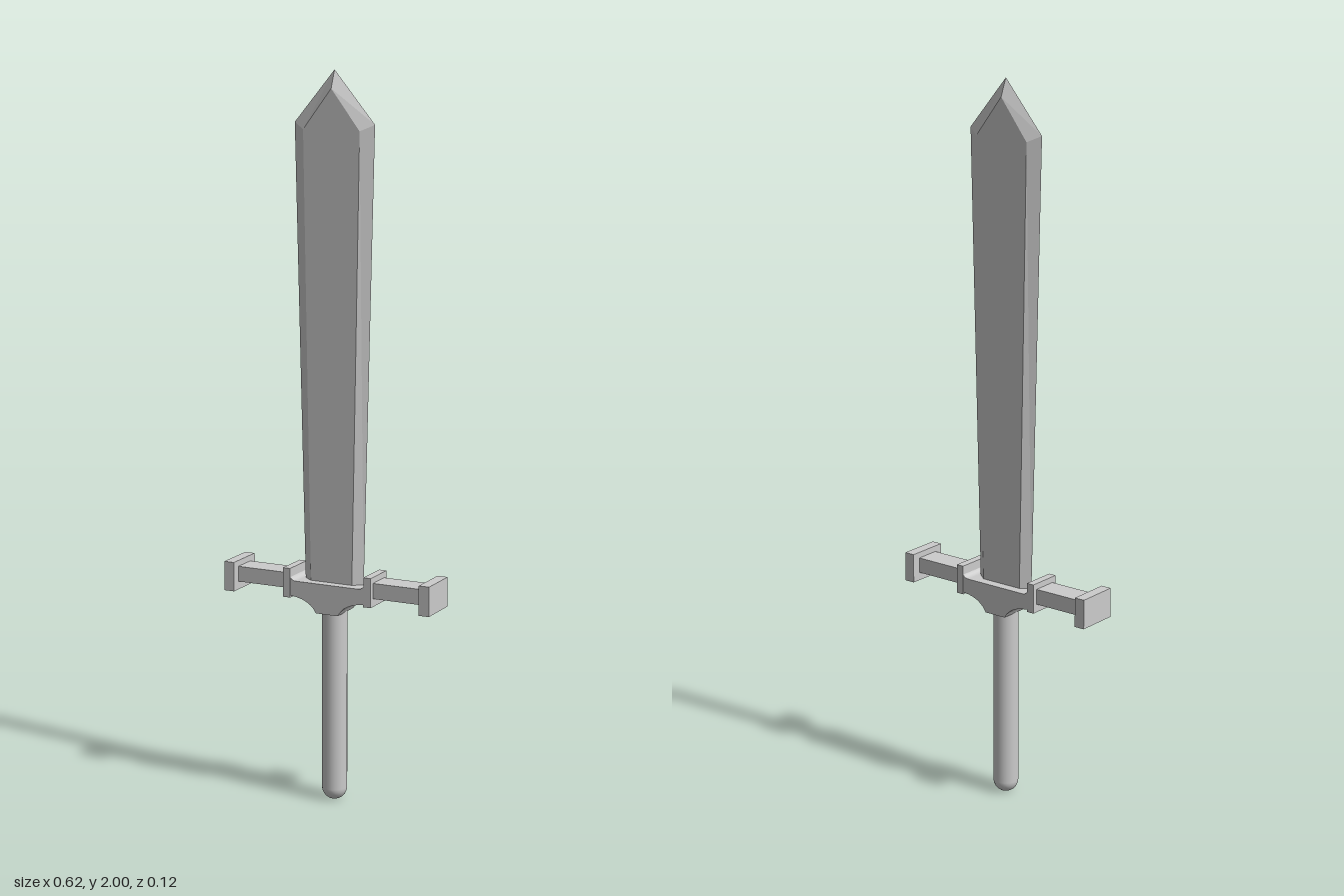
import * as THREE from 'three';

const flat = new THREE.MeshStandardMaterial({ color: 0xcccccc, flatShading: true });
const smooth = new THREE.MeshStandardMaterial({ color: 0xcccccc });

function add(parent, name, geometry, material = flat) {
  const mesh = new THREE.Mesh(geometry, material);
  mesh.name = name;
  parent.add(mesh);
  return mesh;
}

// Six-sided blade: each section gives edge (half width, y) and flat (half width, y)
function bladeGeometry() {
  const t = 0.02;
  const sections = [
    { edge: [0.088, 0.605], face: [0.062, 0.605] },
    { edge: [0.118, 1.86], face: [0.083, 1.843] },
    { edge: [0, 2], face: [0, 1.952] },
  ];
  const rings = sections.map(({ edge: [w, ey], face: [f, fy] }) => [
    [w, ey, 0], [f, fy, t], [-f, fy, t], [-w, ey, 0], [-f, fy, -t], [f, fy, -t],
  ]);
  const positions = [];
  for (let r = 0; r < rings.length - 1; r++) {
    for (let i = 0; i < 6; i++) {
      const j = (i + 1) % 6;
      const [a, b] = [rings[r][i], rings[r][j]];
      const [A, B] = [rings[r + 1][i], rings[r + 1][j]];
      positions.push(...a, ...A, ...B, ...a, ...B, ...b);
    }
  }
  const geometry = new THREE.BufferGeometry();
  geometry.setAttribute('position', new THREE.Float32BufferAttribute(positions, 3));
  geometry.computeVertexNormals();
  return geometry;
}

// Central guard block with a scooped underside, extruded front to back
function guardCentreGeometry() {
  const shape = new THREE.Shape();
  shape.moveTo(0.112, 0.632);
  shape.quadraticCurveTo(0.108, 0.62, 0.094, 0.62);
  shape.lineTo(-0.094, 0.62);
  shape.quadraticCurveTo(-0.108, 0.62, -0.112, 0.632);
  shape.lineTo(-0.112, 0.578);
  shape.quadraticCurveTo(-0.052, 0.574, -0.033, 0.537);
  shape.lineTo(0.033, 0.537);
  shape.quadraticCurveTo(0.052, 0.574, 0.112, 0.578);
  const geometry = new THREE.ExtrudeGeometry(shape, { depth: 0.096, bevelEnabled: false, curveSegments: 6 });
  return geometry.translate(0, 0, -0.048);
}

export function createModel() {
  const model = new THREE.Group();
  model.name = 'sword';

  add(model, 'blade', bladeGeometry());

  // Crossguard
  const guard = new THREE.Group();
  guard.name = 'crossguard';
  model.add(guard);
  add(guard, 'guardCentre', guardCentreGeometry());
  for (const [side, s] of [['left', 1], ['right', -1]]) {
    add(guard, `${side}Collar`, new THREE.BoxGeometry(0.022, 0.082, 0.098)).position.set(s * 0.122, 0.613, 0);
    add(guard, `${side}Bar`, new THREE.BoxGeometry(0.15, 0.043, 0.07)).position.set(s * 0.207, 0.616, 0);
    add(guard, `${side}EndCap`, new THREE.BoxGeometry(0.03, 0.082, 0.12)).position.set(s * 0.295, 0.613, 0);
  }

  // Round grip with a domed foot
  const radius = 0.035;
  const profile = [];
  for (let i = 0; i <= 6; i++) {
    const a = (i / 6) * Math.PI / 2;
    profile.push(new THREE.Vector2(radius * Math.sin(a), radius * (1 - Math.cos(a))));
  }
  profile.push(new THREE.Vector2(radius, 0.55));
  add(model, 'grip', new THREE.LatheGeometry(profile, 24), smooth);

  return model;
}
